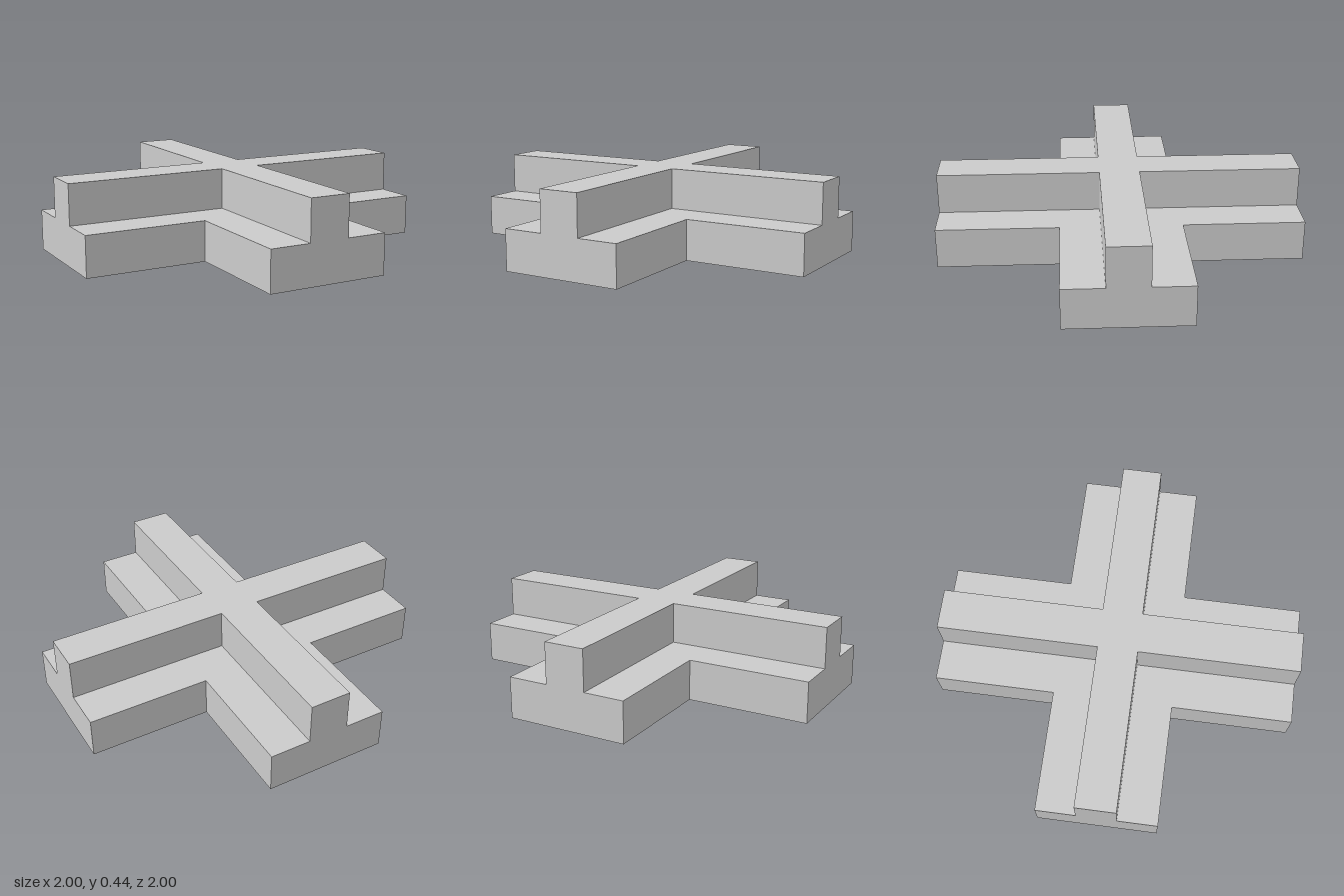
import * as THREE from 'three';

const UNIT = 2 / 9; // step height and rib width
const material = new THREE.MeshStandardMaterial({ color: 0xcccccc, flatShading: true });

// Cross-shaped slab: arms reach 1 unit from the centre, w is half the arm width
function crossSlab(name, w, y, height) {
  const quarter = [[1, -w], [1, w], [w, w]];
  const points = [];
  for (let i = 0; i < 4; i++) {
    for (const [x, z] of quarter) {
      const p = new THREE.Vector2(x, z);
      for (let k = 0; k < i; k++) p.set(-p.y, p.x); // quarter turns
      points.push(p);
    }
  }
  const geometry = new THREE.ExtrudeGeometry(new THREE.Shape(points), { depth: height, bevelEnabled: false });
  geometry.rotateX(-Math.PI / 2);
  const mesh = new THREE.Mesh(geometry, material);
  mesh.name = name;
  mesh.position.y = y;
  return mesh;
}

export function createModel() {
  const model = new THREE.Group();
  model.name = 'steppedCross';
  // Wide lower step
  model.add(crossSlab('baseCross', UNIT * 1.5, 0, UNIT));
  // Narrow rib along the middle of every arm
  model.add(crossSlab('ribCross', UNIT / 2, UNIT, UNIT));
  return model;
}
